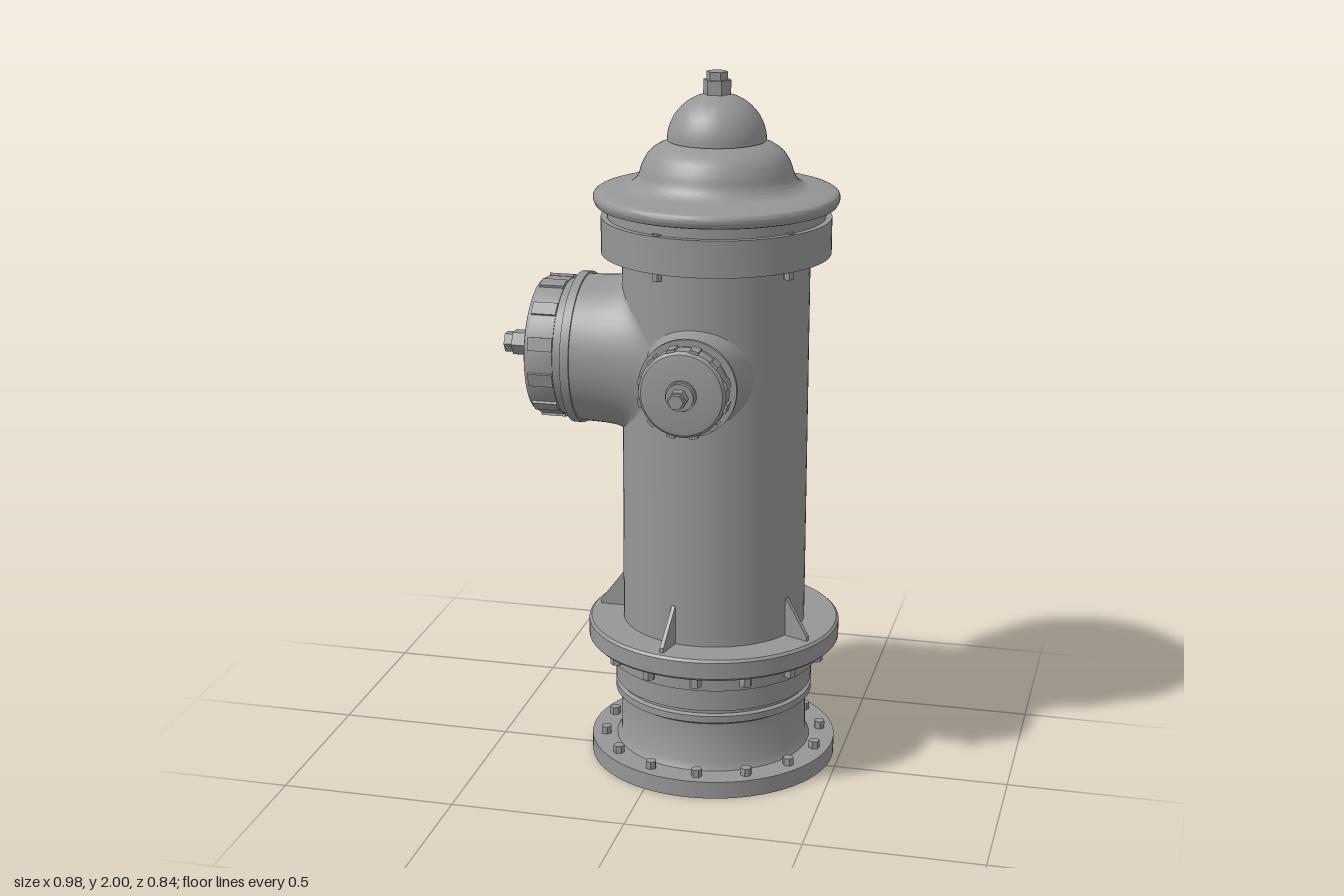
import * as THREE from 'three';
import { toCreasedNormals } from 'three/addons/utils/BufferGeometryUtils.js';

const iron = new THREE.MeshStandardMaterial({ color: 0x969696 });
const BARREL_R = 0.262;
const STEP = (Math.PI * 2) / 14; // spacing shared by flange bolts and ribs

function add(parent, name, geometry) {
  const mesh = new THREE.Mesh(geometry, iron);
  mesh.name = name;
  parent.add(mesh);
  return mesh;
}

// Turned part from [radius, height] points, hard edges kept sharp
function turned(parent, name, points, segments = 64) {
  const pts = points.map(([r, y]) => new THREE.Vector2(r, y));
  return add(parent, name, toCreasedNormals(new THREE.LatheGeometry(pts, segments), 0.6));
}

function smooth(points, n) {
  return new THREE.SplineCurve(points.map(([x, y]) => new THREE.Vector2(x, y)))
    .getPoints(n).map(p => [p.x, p.y]);
}

// Hexagonal head between two heights
function hex(parent, name, radius, y0, y1) {
  const g = new THREE.CylinderGeometry(radius, radius, y1 - y0, 6).toNonIndexed();
  g.computeVertexNormals();
  const mesh = add(parent, name, g);
  mesh.position.y = (y0 + y1) / 2;
  mesh.rotation.y = Math.PI / 6;
  return mesh;
}

function boltCircle(parent, name, count, ringR, start, headR, y0, y1) {
  const group = new THREE.Group();
  group.name = name;
  for (let i = 0; i < count; i++) {
    const a = start + (i * Math.PI * 2) / count;
    const bolt = hex(group, 'bolt', headR, y0, y1);
    bolt.position.x = Math.cos(a) * ringR;
    bolt.position.z = Math.sin(a) * ringR;
    bolt.rotation.y = -a;
  }
  parent.add(group);
}

// Pipe stub that flares into the barrel, widest sideways; local y points outward
function stubGeometry(r, rootSide, rootTop, end) {
  const nu = 64, nv = 14, pos = [], index = [];
  const depth = x => Math.sqrt(BARREL_R ** 2 - x * x);
  for (let i = 0; i <= nu; i++) {
    const a = (i / nu) * Math.PI * 2, c = Math.cos(a), s = Math.sin(a);
    const root = rootTop + (rootSide - rootTop) * c * c;
    const start = depth(root * c) - 0.003, corner = depth(r * c);
    for (let j = 0; j <= nv; j++) {
      const t = j / nv, q = (1 - t) ** 2;
      const rad = r + (root - r) * q;
      pos.push(rad * c, q * start + 2 * t * (1 - t) * corner + t * t * end, rad * s);
      if (i < nu && j < nv) {
        const p = i * (nv + 1) + j, n = p + nv + 1;
        index.push(p, p + 1, n, n, p + 1, n + 1);
      }
    }
  }
  const g = new THREE.BufferGeometry();
  g.setAttribute('position', new THREE.Float32BufferAttribute(pos, 3));
  g.setIndex(index);
  return toCreasedNormals(g, 0.8);
}

// Outlet with collar, ridged cap and operating nut; d lists distances from the barrel axis
function outlet(parent, name, yaw, o) {
  const group = new THREE.Group();
  group.name = name;
  group.position.y = 1.2;
  group.rotation.set(Math.PI / 2, yaw, 0, 'YXZ');
  parent.add(group);
  const [ring, neck, cap, step, nut, end] = o.d;
  add(group, 'outletPipe', stubGeometry(o.pipe, o.rootSide, o.rootTop, ring));
  turned(group, 'outletCollar', [
    [o.pipe - 0.02, ring], [o.collar, ring], [o.collar, neck], [o.neck, neck], [o.neck, cap]]);
  const b = (step - cap) * 0.18;
  turned(group, 'cap', [
    [o.neck - 0.02, cap], [o.cap - 0.006, cap], [o.cap - 0.006, step - b * 1.3],
    [o.cap - 0.014, step - b * 0.3], [o.cap - 0.028, step], [0, step]]);
  // Grip ridges around the cap
  const length = step - cap - b * 1.1;
  for (let i = 0; i < 12; i++) {
    const a = ((i + 0.5) * Math.PI) / 6;
    const ridge = add(group, 'capRidge', new THREE.BoxGeometry(0.03, length, o.cap * 0.19));
    ridge.position.set(Math.cos(a) * (o.cap - 0.015), cap + length / 2, Math.sin(a) * (o.cap - 0.015));
    ridge.rotation.y = -a;
  }
  const mid = step + (nut - step) * 0.35;
  turned(group, 'capBoss', [
    [o.boss * 1.12, step], [o.boss * 1.12, mid], [o.boss, mid], [o.boss, nut], [0, nut]], 24);
  hex(group, 'capNut', o.nut, nut, nut + (end - nut) * 0.65);
  hex(group, 'capNutTip', o.nut * 0.82, nut, end);
}

export function createModel() {
  const model = new THREE.Group();
  model.name = 'hydrant';
  const body = new THREE.Group();
  body.name = 'body';
  body.position.set(0.125, 0, -0.058);
  model.add(body);

  // Base flange with an eight-sided opening
  const plate = new THREE.Shape().absarc(0, 0, 0.355, 0, Math.PI * 2);
  const hole = [];
  for (let i = 0; i < 8; i++) {
    const a = (-(i + 0.5) * Math.PI) / 4;
    hole.push(new THREE.Vector2(Math.cos(a) * 0.248, Math.sin(a) * 0.248));
  }
  plate.holes.push(new THREE.Path(hole));
  const flange = new THREE.ExtrudeGeometry(plate, { depth: 0.05, bevelEnabled: false, curveSegments: 64 });
  flange.rotateX(-Math.PI / 2);
  add(body, 'baseFlange', toCreasedNormals(flange, 0.5));
  boltCircle(body, 'baseBolts', 14, 0.315, 0.15, 0.016, 0.045, 0.072);

  // Bore and stepped foot
  turned(body, 'foot', [
    [0, 0.4], [0.255, 0.4], [0.255, 0.045], [0.285, 0.045], [0.27, 0.07], [0.268, 0.19],
    [0.274, 0.195], [0.285, 0.2], [0.285, 0.22], [0.274, 0.225], [0.274, 0.232], [0.285, 0.237],
    [0.285, 0.3], [0.302, 0.305], [0.302, 0.36]]);
  boltCircle(body, 'flangeBolts', 14, 0.318, STEP / 2 - 0.06, 0.018, 0.325, 0.365);

  // Break flange and barrel
  turned(body, 'barrel', [
    [0.28, 0.36], [0.355, 0.36], [0.362, 0.367], [0.362, 0.415], [0.355, 0.422], [BARREL_R, 0.422], [BARREL_R, 1.51]]);

  // Gusset ribs above the flange
  const gusset = new THREE.Shape([[0.25, 0.415], [0.338, 0.415], [0.338, 0.435], [0.263, 0.535], [0.25, 0.535]]
    .map(([x, y]) => new THREE.Vector2(x, y)));
  for (const k of [1, 4, 7, 9, 12]) {
    const g = new THREE.ExtrudeGeometry(gusset, { depth: 0.011, bevelEnabled: false });
    g.translate(0, 0, -0.0055);
    add(body, 'rib', g).rotation.y = -k * STEP;
  }

  // Upper collar and its bolts
  turned(body, 'upperCollar', [
    [0.255, 1.5], [0.32, 1.5], [0.32, 1.602], [0.303, 1.602], [0.303, 1.64]]);
  boltCircle(body, 'collarBolts', 5, 0.3, (37 * Math.PI) / 180, 0.015, 1.477, 1.606);

  // Bonnet, dome and top nut
  turned(body, 'bonnet', [
    [0.29, 1.633], [0.325, 1.634],
    ...smooth([[0.334, 1.637], [0.341, 1.654], [0.333, 1.671], [0.29, 1.679], [0.245, 1.687], [0.219, 1.71],
      [0.205, 1.748], [0.185, 1.78], [0.15, 1.803], [0.1, 1.82]], 40)]);
  const dome = [[0.1, 1.813], [0.137, 1.813]];
  for (let i = 1; i <= 16; i++) {
    const a = (i * Math.PI) / 32;
    dome.push([0.137 * Math.cos(a), 1.813 + 0.13 * Math.sin(a)]);
  }
  turned(body, 'dome', dome);
  hex(body, 'topNut', 0.039, 1.925, 1.978);
  hex(body, 'topNutTip', 0.03, 1.97, 2.0);

  outlet(body, 'largeOutlet', -Math.PI / 2, {
    d: [0.37, 0.395, 0.422, 0.51, 0.545, 0.615],
    pipe: 0.21, rootSide: 0.25, rootTop: 0.222, collar: 0.216, neck: 0.194, cap: 0.203, boss: 0.06, nut: 0.037 });
  outlet(body, 'smallOutlet', 0, {
    d: [0.333, 0.344, 0.36, 0.414, 0.434, 0.478],
    pipe: 0.131, rootSide: 0.165, rootTop: 0.142, collar: 0.136, neck: 0.117, cap: 0.126, boss: 0.038, nut: 0.026 });

  return model;
}
